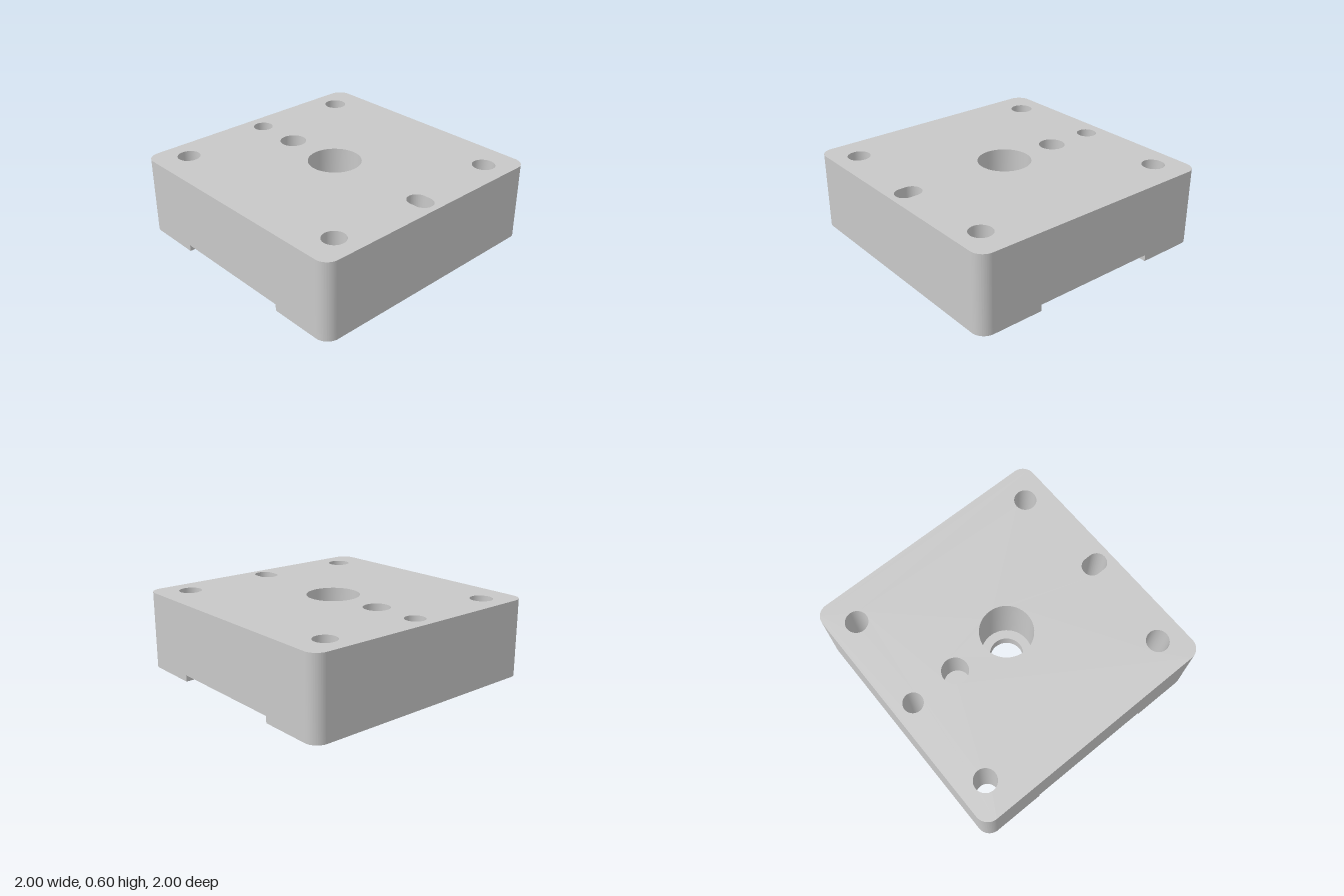
import * as THREE from 'three';
import { toCreasedNormals } from 'three/addons/utils/BufferGeometryUtils.js';

const TOP = 0.597, CHANNEL = 0.05, SEAT = 0.1, BLIND = 0.3;
const SEG = 24;

// Plan outlines are drawn in (x, -z), counter-clockwise seen from above.
function circle(x, z, r) {
  return new THREE.Shape().absarc(x, -z, r, 0, Math.PI * 2, false);
}

function slot(x, z, r, halfStraight) {
  return new THREE.Shape()
    .absarc(x, -z + halfStraight, r, 0, Math.PI, false)
    .absarc(x, -z - halfStraight, r, Math.PI, Math.PI * 2, false);
}

// Rectangle of half width 1 with separate corner radii at back and front
function plate(zBack, zFront, rBack, rFront) {
  const s = new THREE.Shape().moveTo(0, -zFront).lineTo(1 - rFront, -zFront);
  const corners = [[1, -zFront, rFront], [1, -zBack, rBack], [-1, -zBack, rBack], [-1, -zFront, rFront]];
  const inward = [[-1, 1], [-1, -1], [1, -1], [1, 1]];
  corners.forEach(([x, y, r], i) => {
    const start = (i - 1) * Math.PI / 2;
    if (r > 0) s.absarc(x + inward[i][0] * r, y + inward[i][1] * r, r, start, start + Math.PI / 2, false);
    else s.lineTo(x, y);
  });
  return s.closePath();
}

// Horizontal face at height y, facing up or down
function face(outline, holes, y, up) {
  const shape = outline.clone();
  shape.holes = holes;
  const geo = new THREE.ShapeGeometry(shape, SEG).rotateX(-Math.PI / 2).translate(0, y, 0);
  if (!up) {
    const idx = geo.index.array;
    for (let i = 0; i < idx.length; i += 3) [idx[i], idx[i + 1]] = [idx[i + 1], idx[i]];
    geo.computeVertexNormals();
  }
  return geo;
}

// Vertical wall along an outline, facing outwards or into a hole
function wall(outline, y0, y1, inside) {
  const pts = outline.getPoints(SEG);
  if (inside) pts.reverse();
  const pos = [];
  pts.forEach((a, i) => {
    const b = pts[(i + 1) % pts.length];
    if (a.distanceTo(b) < 1e-6) return;
    pos.push(a.x, y0, -a.y, b.x, y0, -b.y, b.x, y1, -b.y);
    pos.push(a.x, y0, -a.y, b.x, y1, -b.y, a.x, y1, -a.y);
  });
  const geo = new THREE.BufferGeometry();
  geo.setAttribute('position', new THREE.Float32BufferAttribute(pos, 3));
  return toCreasedNormals(geo, 0.5);
}

export function createModel() {
  const metal = new THREE.MeshStandardMaterial({ color: 0xc8c8c8 });
  metal.name = 'grey metal';
  const model = new THREE.Group();
  model.name = 'mountingBlock';

  const part = (name, ...geos) => {
    const group = new THREE.Group();
    group.name = name;
    for (const geo of geos) {
      const mesh = new THREE.Mesh(geo, metal);
      mesh.name = name + 'Surface';
      group.add(mesh);
    }
    model.add(group);
  };

  // Outlines
  const body = plate(-1, 1, 0.1, 0.1);
  const backHoles = [circle(-0.75, -0.8, 0.086), circle(0.75, -0.8, 0.086), circle(0, -0.85, 0.076)];
  const frontHoles = [circle(-0.75, 0.8, 0.086), circle(0.75, 0.8, 0.086), slot(0, 0.85, 0.076, 0.026)];
  const throughHoles = [...backHoles, ...frontHoles];
  const bore = circle(0, 0, 0.131);
  const counterbore = circle(0, 0, 0.201);
  const blind = circle(0, -0.475, 0.1);
  const boss = circle(0, 0, 0.275);

  // Main block above the channel
  part('body',
    wall(body, CHANNEL, TOP, false),
    face(body, [...throughHoles, counterbore, blind], TOP, true));

  // Feet either side of the channel
  const backFoot = plate(-1, -0.5, 0.1, 0);
  const frontFoot = plate(0.5, 1, 0, 0.1);
  part('backFoot', wall(backFoot, 0, CHANNEL, false), face(backFoot, backHoles, 0, false));
  part('frontFoot', wall(frontFoot, 0, CHANNEL, false), face(frontFoot, frontHoles, 0, false));

  // Channel across the underside, with a round boss in the middle
  part('channel', face(plate(-0.5, 0.5, 0, 0), [boss], CHANNEL, false));
  part('boss', wall(boss, 0, CHANNEL, false), face(boss, [bore], 0, false));

  // Stepped centre bore
  part('centreBore',
    wall(bore, 0, SEAT, true),
    face(counterbore, [bore], SEAT, true),
    wall(counterbore, SEAT, TOP, true));

  // Blind hole and through holes
  part('blindHole', wall(blind, BLIND, TOP, true), face(blind, [], BLIND, true));
  throughHoles.forEach((hole) => part('throughHole', wall(hole, 0, TOP, true)));

  return model;
}
